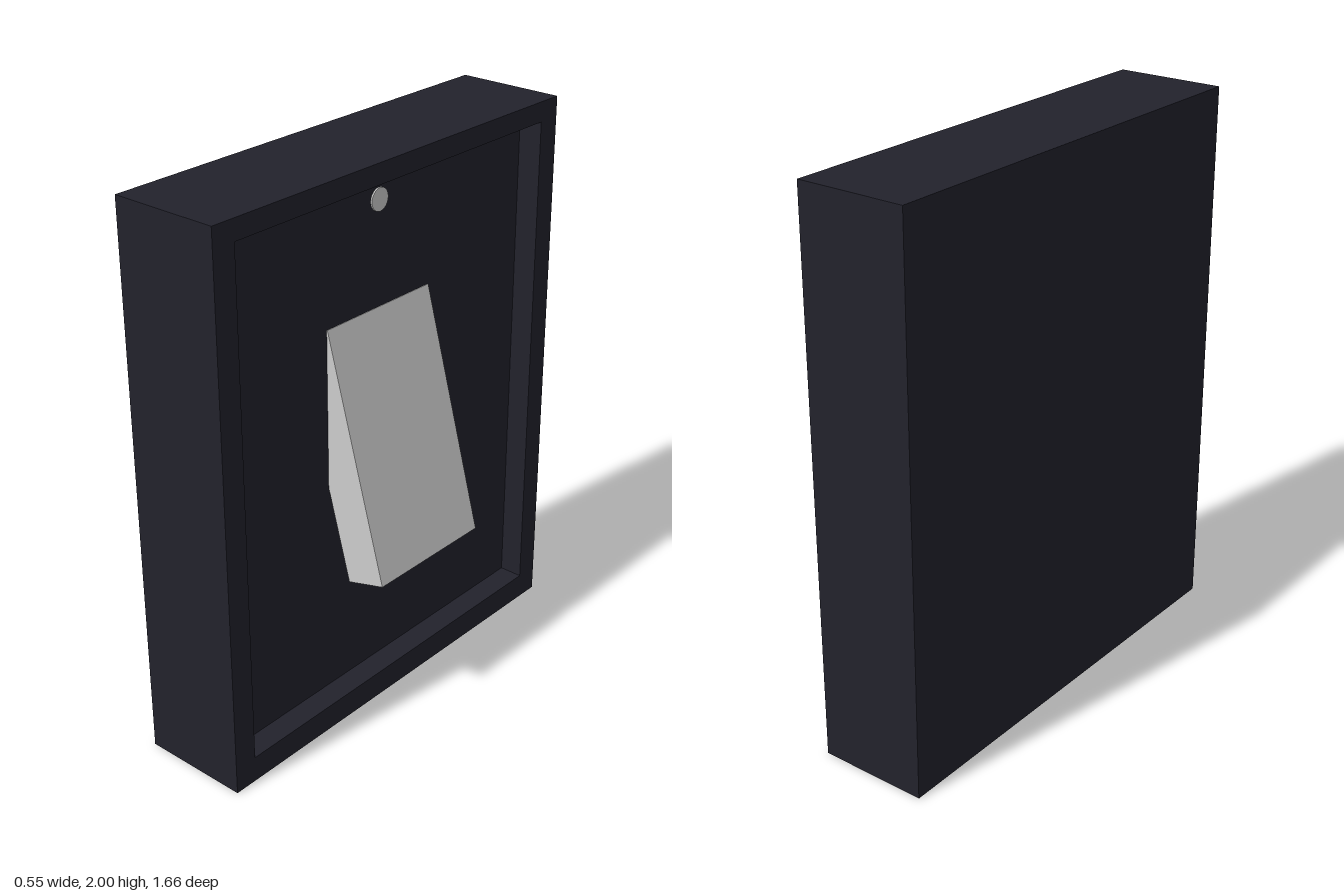
import * as THREE from 'three';

const FRONT = 0.126, FLOOR = 0.037, BACK = -0.274;
const HALF_W = 0.83, HEIGHT = 2;

// Rectangle outline in (z, y)
function rect(path, halfW, y0, y1) {
  path.moveTo(-halfW, y0);
  path.lineTo(halfW, y0);
  path.lineTo(halfW, y1);
  path.lineTo(-halfW, y1);
  path.closePath();
  return path;
}

export function createModel() {
  const group = new THREE.Group();
  const dark = new THREE.MeshStandardMaterial({ color: 0x22222c });
  dark.name = 'dark casing';
  const light = new THREE.MeshStandardMaterial({ color: 0xcccccc });
  light.name = 'light grey';

  const add = (name, geometry, material) => {
    const mesh = new THREE.Mesh(geometry, material);
    mesh.name = name;
    group.add(mesh);
    return mesh;
  };

  // Casing: one wall extruded along x, then the raised rim around the recess
  const extrudeX = (shape, x0, x1) =>
    new THREE.ExtrudeGeometry(shape, { depth: x1 - x0, bevelEnabled: false })
      .rotateY(Math.PI / 2).translate(x0, 0, 0);

  add('backPlate', extrudeX(rect(new THREE.Shape(), HALF_W, 0, HEIGHT), BACK, FLOOR), dark);

  const rim = rect(new THREE.Shape(), HALF_W, 0, HEIGHT);
  rim.holes.push(rect(new THREE.Path(), 0.742, 0.095, 1.928));
  add('rim', extrudeX(rim, FLOOR, FRONT), dark);

  // Rocker: a box tilted 15 degrees, its upper end sunk into the recess floor
  const length = 0.9, thickness = 0.152;
  const rocker = add('rocker',
    new THREE.BoxGeometry(thickness, length, 0.508).translate(-thickness / 2, length / 2, 0), light);
  rocker.position.set(0.273, 0.595, 0.009);
  rocker.rotation.z = THREE.MathUtils.degToRad(15);

  // Indicator lamp: a thin disc on the recess floor
  const lamp = add('indicatorLamp', new THREE.CylinderGeometry(0.04, 0.04, 0.006, 24), light);
  lamp.rotation.z = -Math.PI / 2;
  lamp.position.set(FLOOR + 0.003, 1.835, 0.009);

  return group;
}
